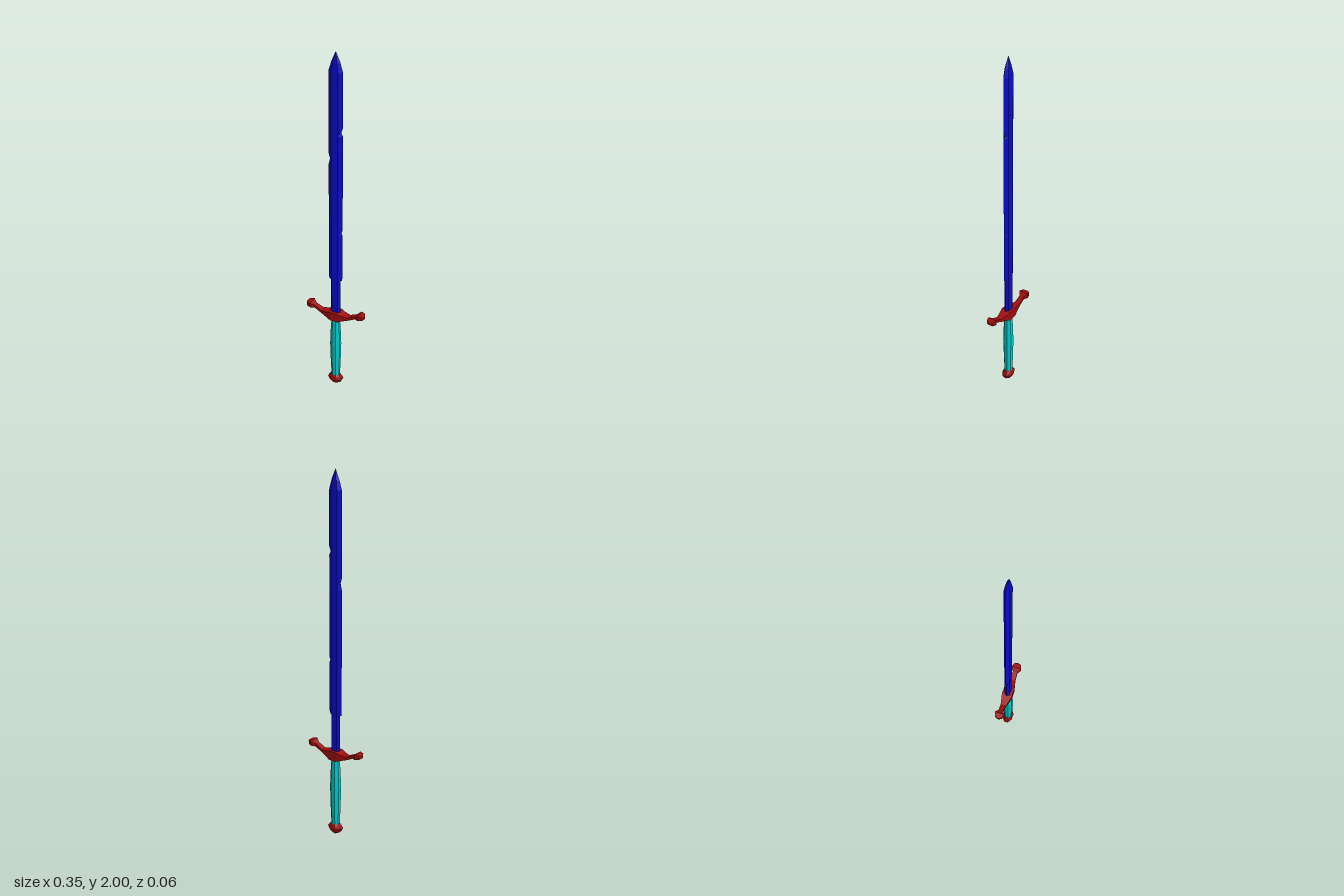
import * as THREE from 'three';

// Skin a list of equal-length rings and cap both ends, faceted.
function loft(name, rings, color) {
  const pos = [];
  const tri = (...pts) => pts.forEach((p) => pos.push(...p));
  const n = rings[0].length;
  for (let i = 0; i + 1 < rings.length; i++) {
    for (let j = 0; j < n; j++) {
      const k = (j + 1) % n;
      const [a, b, c, d] = [rings[i][j], rings[i][k], rings[i + 1][k], rings[i + 1][j]];
      tri(a, b, c);
      tri(a, c, d);
    }
  }
  const first = rings[0], last = rings[rings.length - 1];
  for (let j = 1; j + 1 < n; j++) {
    tri(first[0], first[j + 1], first[j]);
    tri(last[0], last[j], last[j + 1]);
  }
  const geo = new THREE.BufferGeometry();
  geo.setAttribute('position', new THREE.Float32BufferAttribute(pos, 3));
  geo.computeVertexNormals();
  const mesh = new THREE.Mesh(geo, new THREE.MeshStandardMaterial({ color, flatShading: true }));
  mesh.name = name;
  return mesh;
}

// Horizontal oval ring with flats facing the front and sides.
function oval(y, rx, rz, n = 8) {
  const s = 1 / Math.cos(Math.PI / n);
  return Array.from({ length: n }, (_, j) => {
    const a = ((j + 0.5) / n) * Math.PI * 2;
    return [rx * s * Math.cos(a), y, -rz * s * Math.sin(a)];
  });
}

// Hexagonal blade section: sharp left and right edges, flat faces.
function bladeRing([y, xMin, xMax, flat, t]) {
  return [[xMax, y, 0], [flat, y, -t], [-flat, y, -t], [xMin, y, 0], [-flat, y, t], [flat, y, t]];
}

export function createModel() {
  const sword = new THREE.Group();
  sword.name = 'sword';
  const RED = 0xa00c0c, BLUE = 0x0a0acc, CYAN = 0x00cccc;

  // Blade: narrow base, long edges with small nicks, pointed tip
  const blade = [
    [0.48, -0.028, 0.028, 0.017, 0.014],
    [0.71, -0.028, 0.028, 0.017, 0.014],
    [0.715, -0.038, 0.036, 0.018, 0.015],
    [0.73, -0.039, 0.039, 0.018, 0.015],
    [1.0, -0.039, 0.039, 0.018, 0.015],
    [1.015, -0.039, 0.033, 0.018, 0.015],
    [1.03, -0.039, 0.039, 0.018, 0.015],
    [1.4, -0.039, 0.039, 0.018, 0.015],
    [1.435, -0.031, 0.039, 0.018, 0.015],
    [1.465, -0.039, 0.039, 0.018, 0.015],
    [1.57, -0.039, 0.039, 0.018, 0.015],
    [1.59, -0.039, 0.03, 0.018, 0.015],
    [1.615, -0.039, 0.039, 0.018, 0.015],
    [1.9, -0.038, 0.038, 0.018, 0.015],
    [1.945, -0.024, 0.025, 0.012, 0.011],
    [1.955, -0.02, 0.022, 0.01, 0.009],
    [2.0, -0.001, 0.001, 0.0005, 0.0005],
  ];
  sword.add(loft('blade', blade.map(bladeRing), BLUE));

  // Crossguard: upswept arms with flared ends; [x, bottom, top, half depth]
  const arm = [
    [0.022, 0.452, 0.505, 0.029],
    [0.045, 0.462, 0.496, 0.024],
    [0.08, 0.474, 0.491, 0.016],
    [0.122, 0.495, 0.512, 0.013],
    [0.142, 0.5, 0.526, 0.028],
    [0.165, 0.502, 0.524, 0.02],
    [0.173, 0.507, 0.519, 0.003],
  ];
  const guard = [...arm.map(([x, ...r]) => [-x, ...r]).reverse(), ...arm];
  sword.add(loft('crossguard', guard.map(([x, lo, hi, d]) =>
    [[x, hi, -d], [x, hi, d], [x, lo, d], [x, lo, -d]]), RED));

  // Grip: swells in the middle
  const grip = [[0.05, 0.022, 0.02], [0.16, 0.026, 0.024], [0.28, 0.029, 0.026],
    [0.37, 0.026, 0.024], [0.46, 0.021, 0.02]];
  sword.add(loft('grip', grip.map((r) => oval(...r)), CYAN));

  // Pommel: faceted, wider than deep
  const pommel = [[0, 0.014, 0.012], [0.016, 0.034, 0.023], [0.036, 0.043, 0.028],
    [0.052, 0.032, 0.024], [0.064, 0.022, 0.018]];
  sword.add(loft('pommel', pommel.map((r) => oval(...r)), RED));

  return sword;
}
